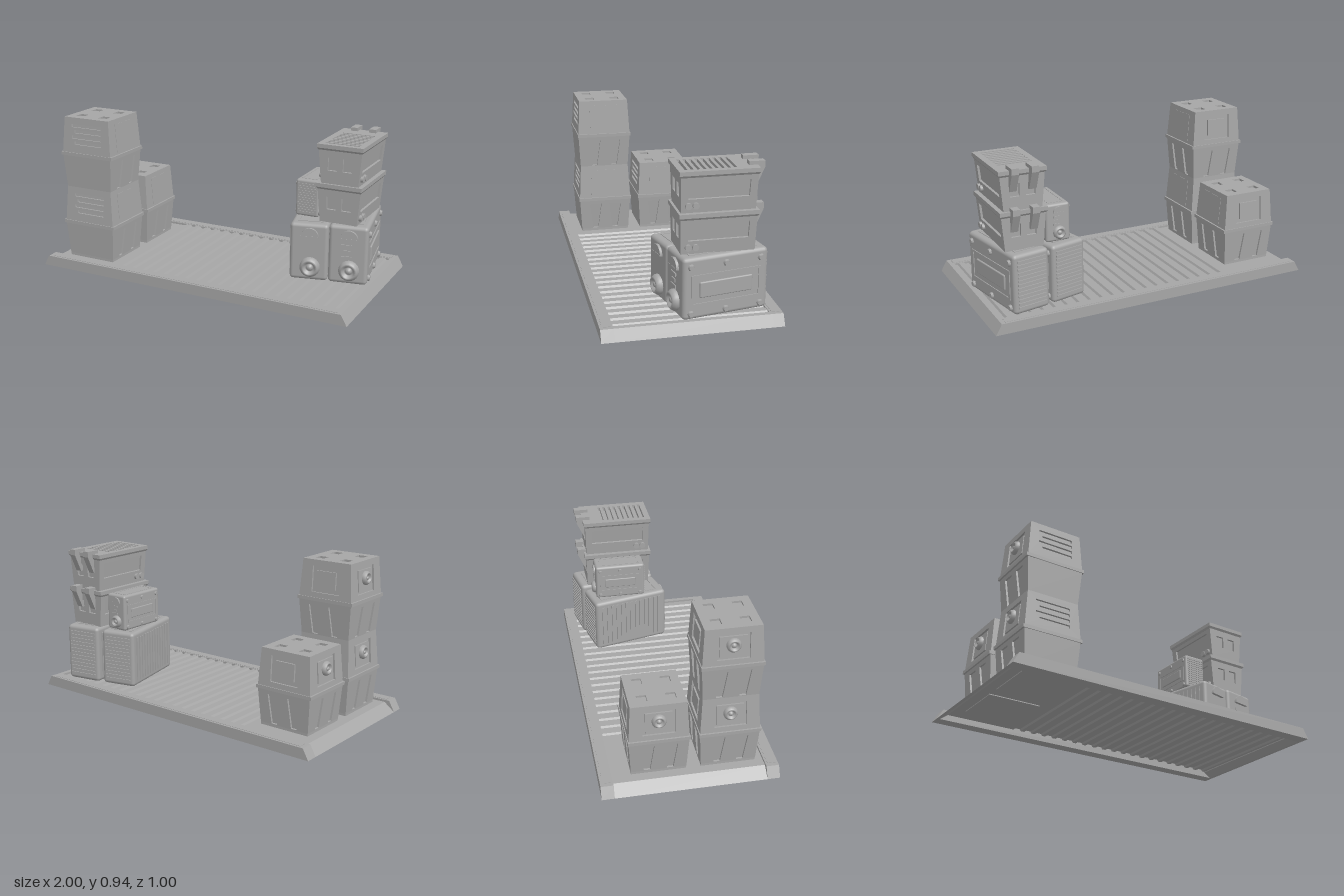
import * as THREE from 'three';
import { RoundedBoxGeometry } from 'three/addons/geometries/RoundedBoxGeometry.js';

const grey = new THREE.MeshStandardMaterial({ color: 0xa6a6a6 });
grey.name = 'grey';

function add(parent, geometry, name, x = 0, y = 0, z = 0) {
  const m = new THREE.Mesh(geometry, grey);
  m.name = name;
  m.position.set(x, y, z);
  parent.add(m);
  return m;
}
function group(parent, name, x = 0, y = 0, z = 0) {
  const g = new THREE.Group();
  g.name = name;
  g.position.set(x, y, z);
  parent.add(g);
  return g;
}
const box = (w, h, d) => new THREE.BoxGeometry(w, h, d);
const toVec = (pts) => pts.map(([x, y]) => new THREE.Vector2(x, y));
// Corners of a rectangle centred on x, y
const rect = (x, y, w, h) =>
  [[x - w / 2, y - h / 2], [x + w / 2, y - h / 2], [x + w / 2, y + h / 2], [x - w / 2, y + h / 2]];

// Flat plate with holes; its outer face lies on z = 0
function plate(points, holes, depth) {
  const shape = new THREE.Shape(toVec(points));
  shape.holes = holes.map((h) => new THREE.Path(toVec(h)));
  return new THREE.ExtrudeGeometry(shape, { depth, bevelEnabled: false }).translate(0, 0, -depth);
}

// Four-sided tapered block standing on y = 0, given half widths and half depths
function frustum(w0, d0, w1, d1, h) {
  const geo = box(2, h, 2).translate(0, h / 2, 0);
  const p = geo.attributes.position;
  for (let i = 0; i < p.count; i++) {
    const t = p.getY(i) / h;
    p.setX(i, p.getX(i) * THREE.MathUtils.lerp(w0, w1, t));
    p.setZ(i, p.getZ(i) * THREE.MathUtils.lerp(d0, d1, t));
  }
  geo.computeVertexNormals();
  return geo;
}

// Tapered shell: inner core plus four pierced walls (front, left, back, right)
function shell(parent, name, y, h, [w0, d0], [w1, d1], holes, t = 0.012) {
  const g = group(parent, name, 0, y, 0);
  add(g, frustum(w0 - t, d0 - t, w1 - t, d1 - t, h - t), name + 'Core');
  return [0, 1, 2, 3].map((k) => {
    const [a0, a1, b0, b1] = k % 2 ? [d0, d1, w0, w1] : [w0, w1, d0, d1];
    const L = Math.hypot(h, b1 - b0);
    const turn = group(g, name + 'Side');
    turn.rotation.y = (k * Math.PI) / 2;
    const wall = group(turn, name + 'Wall', 0, 0, b0);
    wall.rotation.x = Math.atan2(b1 - b0, h);
    add(wall, plate([[-a0, 0], [a0, 0], [a1, L], [-a1, L]], holes[k] || [], t), name + 'Panel');
    return wall;
  });
}

// Stepped round dial facing +z
function dial(parent, r, x, y, z) {
  const profile = toVec([[0.001, 0.5], [0.22, 0.5], [0.3, 0.25], [0.45, 0.25], [0.6, 0.6], [0.8, 0.55], [1, 0.25], [1, -0.1]]
    .map(([a, b]) => [a * r, b * r])).reverse();
  const m = add(parent, new THREE.LatheGeometry(profile, 20), 'dial', x, y, z);
  m.rotation.x = Math.PI / 2;
}

// Tall waisted crate
function crate(parent, x, y, z) {
  const g = group(parent, 'crate', x, y, z);
  const end = [0.156, 0.156], mid = [0.171, 0.168];
  const flutes = [-0.065, 0.065].map((c) =>
    [[c - 0.018, 0.004], [c + 0.018, 0.004], [c + 0.04, 0.175], [c - 0.04, 0.175]]);
  shell(g, 'lowerHalf', 0, 0.2, end, mid, [[], flutes, flutes, flutes]);
  add(g, box(0.362, 0.02, 0.346), 'band', 0, 0.21, 0);
  const slots = [0.06, 0.095, 0.13, 0.165].map((sy, i) => rect(i % 2 ? 0 : 0.01, sy, i % 2 ? 0.21 : 0.19, 0.018));
  const square = [rect(0, 0.105, 0.18, 0.15)];
  const walls = shell(g, 'upperHalf', 0.22, 0.215, mid, end, [slots, [], square, square]);
  add(walls[1], box(0.18, 0.17, 0.004), 'sidePlate', 0, 0.1, 0);
  add(walls[2], box(0.125, 0.1, 0.012), 'backPlate', 0, 0.105, -0.007);
  add(walls[3], box(0.15, 0.12, 0.01), 'dialPlate', 0, 0.105, -0.008);
  dial(walls[3], 0.04, 0, 0.115, -0.003);
  // Lid with four square pockets
  const pockets = [];
  for (const px of [-0.08, 0.08]) for (const pz of [-0.08, 0.08]) pockets.push(rect(px, pz, 0.055, 0.055));
  const lid = add(g, plate(rect(0, 0, 0.31, 0.31), pockets, 0.014), 'lid', 0, 0.435, 0);
  lid.rotation.x = -Math.PI / 2;
}

// Slatted bin with rim, hooks and side pegs
function bin(parent, x, y, z) {
  const g = group(parent, 'bin', x, y, z);
  const windows = [-0.045, 0.045].map((c) => rect(c, 0.115, 0.055, 0.075));
  const panel = [[[-0.165, 0.075], [0.165, 0.075], [0.168, 0.17], [-0.168, 0.17]]];
  shell(g, 'binBody', 0, 0.205, [0.112, 0.203], [0.13, 0.208], [windows, panel, windows, panel], 0.014);
  add(g, frustum(0.13, 0.208, 0.138, 0.217, 0.012), 'rimFlare', 0, 0.195, 0);
  const slots = Array.from({ length: 9 }, (_, i) => rect(0, 0.09 - i * 0.033, 0.2, 0.015));
  const lid = add(g, plate(rect(0, 0, 0.276, 0.434), slots, 0.023), 'slottedLid', 0, 0.23, 0);
  lid.rotation.x = -Math.PI / 2;
  for (const sx of [-1, 1]) {
    const hook = add(g, plate([[0.17, 0.25], [0.257, 0.25], [0.257, 0.215], [0.21, 0.11],
      [0.195, 0.11], [0.195, 0.225], [0.17, 0.225]].reverse(), [], 0.042), 'hook', sx * 0.057 + 0.021, 0, 0);
    hook.rotation.y = Math.PI / 2;
    for (const pz of [0.165, 0.125]) {
      const peg = add(g, new THREE.CylinderGeometry(0.018, 0.018, 0.03, 12), 'peg', sx * 0.117, 0.04, pz);
      peg.rotation.z = Math.PI / 2;
    }
  }
}

// Rounded equipment case: dial in front, bolted left side, louvred back
function equipmentCase(parent, x, y, z, turn, scale, slotted) {
  const g = group(parent, 'equipmentCase', x, y, z);
  g.rotation.y = turn;
  g.scale.setScalar(scale);
  const w = 0.228, h = 0.35, d = 0.5;
  add(g, new RoundedBoxGeometry(w, h, d, 2, 0.022), 'caseBody', 0, h / 2, 0);
  // Front controls
  dial(g, 0.06, 0.01, 0.085, d / 2);
  const visor = add(g, new THREE.CylinderGeometry(0.052, 0.052, 0.03, 16, 1, false, Math.PI / 2, Math.PI),
    'visor', 0.005, 0.275, d / 2);
  visor.rotation.x = Math.PI / 2;
  add(g, box(0.104, 0.008, 0.034), 'visorSill', 0.005, 0.275, d / 2);
  if (slotted) for (const i of [0, 1, 2])
    add(g, box(i === 1 ? 0.05 : 0.065, 0.018, 0.012), 'indicator', -0.01, 0.16 + i * 0.035, d / 2);
  // Bolted side
  const frame = add(g, plate(rect(0, 0.165, 0.41, 0.175), [rect(0, 0.165, 0.385, 0.15)], 0.008), 'sideFrame', w / 2 + 0.005, 0, 0);
  frame.rotation.y = Math.PI / 2;
  add(g, new RoundedBoxGeometry(0.016, 0.09, 0.31, 2, 0.007), 'sidePlate', w / 2, 0.165, 0);
  for (const by of [0.035, 0.3]) for (const bz of [-0.205, 0, 0.205]) {
    const bolt = add(g, new THREE.CylinderGeometry(0.015, 0.021, 0.016, 6), 'bolt', w / 2 + 0.005, by, bz);
    bolt.rotation.z = -Math.PI / 2;
  }
  // Louvres on the back and upright slats on the right
  for (let i = 0; i < 13; i++) {
    add(g, box(0.18, 0.011, 0.012), 'louvre', 0, 0.04 + i * 0.0225, -d / 2);
    add(g, box(0.012, 0.28, 0.015), 'slat', -w / 2, 0.175, -0.2 + i * 0.0333);
  }
  const top = add(g, plate(rect(0, 0, 0.15, 0.4), [rect(0, 0, 0.13, 0.38)], 0.006), 'topFrame', 0, h + 0.003, 0);
  top.rotation.x = -Math.PI / 2;
}

function platform(parent) {
  const g = group(parent, 'platform');
  // Ribbed floor sheet with an entry ramp
  const top = [[-1, 0], [-0.935, 0.05]];
  for (let i = 0; i < 20; i++) {
    const x = -0.52 + i * 0.0725;
    top.push([x + 0.008, 0.05], [x + 0.016, 0.061], [x + 0.05, 0.061], [x + 0.058, 0.05]);
  }
  top.push([0.95, 0.05]);
  const under = top.map(([x, y], i) => (i ? [x, y - 0.015] : [-0.982, 0])).reverse();
  add(g, plate([...under.reverse(), ...top.slice().reverse()], [], 0.88), 'ribbedFloor', 0, 0, 0.44);
  // Side rails with raised strips
  const side = [[-1, 0], [1, 0], [0.965, 0.063], [-0.965, 0.063]];
  for (const s of [-1, 1]) {
    add(g, plate(side, [], 0.072), 'sideRail', 0, 0, s * 0.464 + 0.036);
    add(g, box(1.88, 0.004, 0.046), 'railStrip', 0, 0.063, s * 0.463);
  }
  add(g, plate([[0.935, 0.03], [0.983, 0], [1, 0], [0.965, 0.063], [0.935, 0.063]], [], 0.88), 'endRail', 0, 0, 0.44);
  // Pads carrying the crates, showing through underneath
  for (const z of [0.23, -0.164]) add(g, box(0.31, 0.035, 0.31), 'cratePad', -0.722, 0.0475, z);
}

export function createModel() {
  const model = new THREE.Group();
  model.name = 'cargoPlatform';
  platform(model);

  crate(model, -0.722, 0.065, 0.23);
  crate(model, -0.722, 0.5, 0.23);
  crate(model, -0.722, 0.065, -0.164);

  equipmentCase(model, 0.795, 0.061, -0.17, 0.18, 1, true);
  equipmentCase(model, 0.56, 0.061, -0.12, 0.23, 0.98, false);
  equipmentCase(model, 0.548, 0.405, -0.16, Math.PI, 0.63, true);

  bin(model, 0.765, 0.41, -0.15);
  bin(model, 0.765, 0.64, -0.15);
  return model;
}
